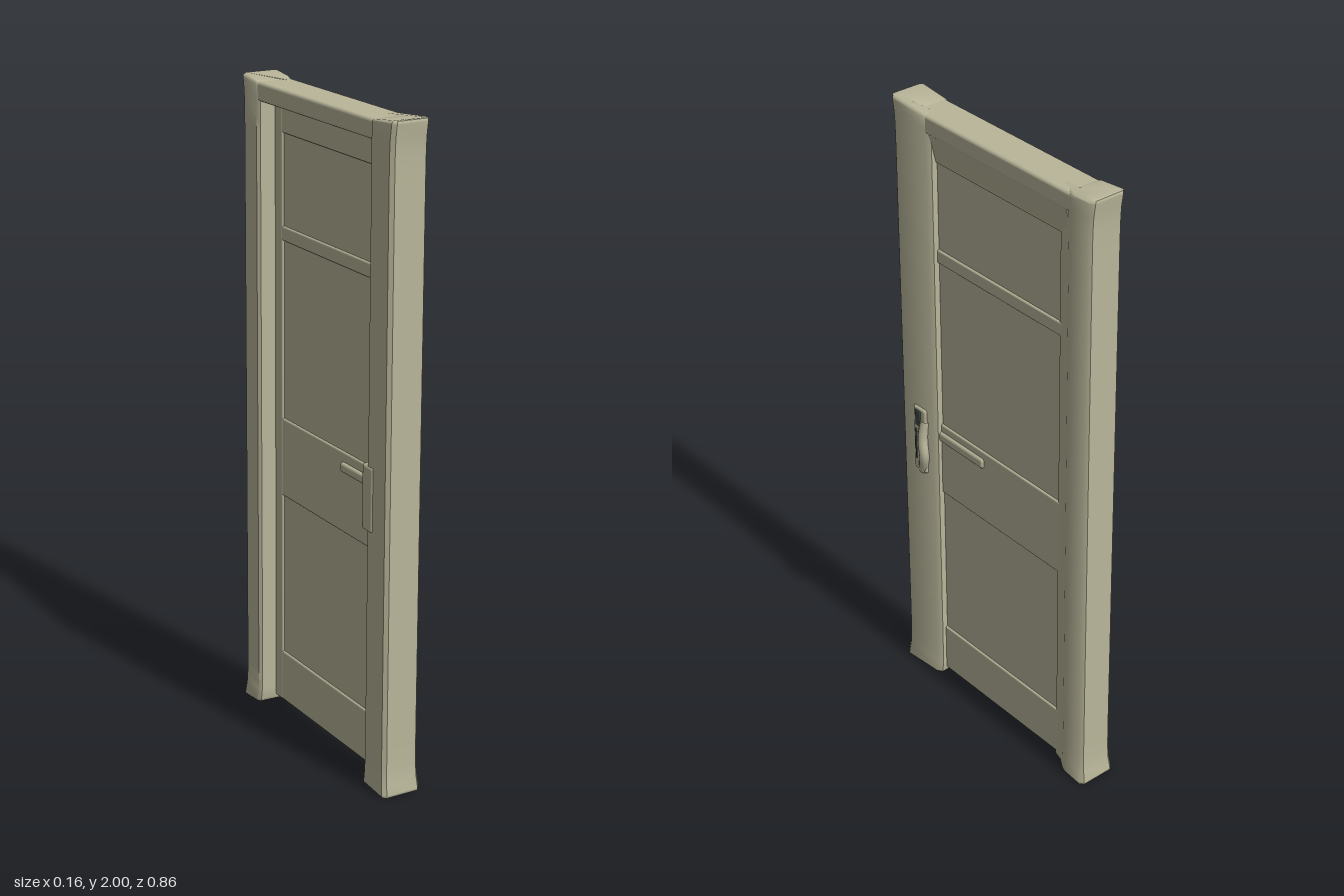
import * as THREE from 'three';
import { RoundedBoxGeometry } from 'three/addons/geometries/RoundedBoxGeometry.js';
import { toCreasedNormals } from 'three/addons/utils/BufferGeometryUtils.js';

export function createModel() {
  const door = new THREE.Group();
  door.name = 'door';
  const paint = new THREE.MeshStandardMaterial({ color: 0xb9b69a });
  paint.name = 'olive paint';
  const dark = new THREE.MeshStandardMaterial({ color: 0x3c4a42 });
  dark.name = 'dark keyhole';

  // The whole door is slightly warped: x drifts with height and depth.
  function add(name, geo, mat = paint) {
    const p = geo.attributes.position;
    for (let i = 0; i < p.count; i++) {
      const y = p.getY(i), z = p.getZ(i);
      p.setX(i, p.getX(i) + 0.006 * (y - 1) - 0.016 * z);
    }
    const mesh = new THREE.Mesh(geo, mat);
    mesh.name = name;
    door.add(mesh);
  }

  // Rounded block given by its limits on each axis.
  function block(name, [x0, x1], [y0, y1], [z0, z1], r = 0.006, mat = paint) {
    const geo = new RoundedBoxGeometry(x1 - x0, y1 - y0, z1 - z0, 3, r);
    geo.translate((x0 + x1) / 2, (y0 + y1) / 2, (z0 + z1) / 2);
    add(name, geo, mat);
  }

  // Plate whose outline (a, y) is extruded along x or z.
  // Upright with an L-shaped section, its outer corners flared at both ends.
  function jamb(name, side, points) {
    const shape = new THREE.Shape(points.map(([x, z]) => new THREE.Vector2(x, -z * side)));
    const b = 0.008, low = 0.01, high = 1.988;
    let geo = new THREE.ExtrudeGeometry(shape, {
      depth: high - low - 2 * b, steps: 60,
      bevelSize: b, bevelThickness: b, bevelOffset: -b, bevelSegments: 3,
    });
    geo.rotateX(-Math.PI / 2).translate(0, low + b, 0);
    const p = geo.attributes.position;
    for (let i = 0; i < p.count; i++) {
      const y = p.getY(i), z = p.getZ(i);
      const bottom = Math.exp(-Math.max(0, y - low) / 0.03);
      const top = Math.exp(-Math.max(0, high - y) / 0.03);
      const outer = THREE.MathUtils.smoothstep(Math.abs(z), 0.31, 0.41);
      p.setZ(i, z + side * outer * 0.012 * (bottom + top));
      p.setY(i, y + outer * (0.012 * top - 0.01 * bottom));
      p.setX(i, p.getX(i) * (1 + 0.1 * bottom));
    }
    geo = toCreasedNormals(geo, 0.7);
    add(name, geo);
  }
  jamb('frontJamb', 1, [[-0.05, 0.423], [-0.061, 0.412], [-0.063, 0.322], [-0.055, 0.312],
    [0.01, 0.31], [0.01, 0.262], [0.045, 0.262], [0.056, 0.278], [0.06, 0.408], [0.049, 0.423]]);
  jamb('backJamb', -1, [[-0.05, 0.423], [-0.061, 0.412], [-0.063, 0.335], [-0.055, 0.325],
    [0.006, 0.322], [0.006, 0.27], [0.03, 0.275], [0.037, 0.305], [0.055, 0.335],
    [0.06, 0.35], [0.06, 0.408], [0.049, 0.423]]);

  // Header, with a soft slope down to the leaf on the +x face
  block('header', [-0.06, 0.055], [1.93, 1.988], [-0.41, 0.41], 0.01);
  const slope = new THREE.ExtrudeGeometry(new THREE.Shape([
    new THREE.Vector2(0.01, 1.84), new THREE.Vector2(0.03, 1.84), new THREE.Vector2(0.04, 1.88),
    new THREE.Vector2(0.053, 1.94), new THREE.Vector2(0.01, 1.94),
  ]), { depth: 0.6, bevelEnabled: false });
  add('headerSlope', slope.translate(0, 0, -0.32));

  // Leaf with its rails and stiles
  block('leaf', [0, 0.026], [0.022, 1.95], [-0.34, 0.33], 0.004);
  for (const [y0, y1] of [[0.024, 0.19], [0.71, 0.96], [1.515, 1.56], [1.84, 1.94]]) {
    block('rail', [-0.006, 0.032], [y0, y1], [-0.33, 0.325], 0.006);
  }
  for (const z of [[0.235, 0.33], [-0.34, -0.28]]) {
    block('stile', [-0.007, 0.02], [0.023, 1.94], z, 0.006);
  }

  // Handle plate, grip, lever and keyhole on the +x face
  block('handlePlate', [0.045, 0.065], [0.77, 1.0], [0.3, 0.36], 0.009);
  const grip = new THREE.TubeGeometry(new THREE.CatmullRomCurve3([
    new THREE.Vector3(0.056, 0.96, 0.31), new THREE.Vector3(0.066, 0.9, 0.313),
    new THREE.Vector3(0.068, 0.84, 0.305), new THREE.Vector3(0.055, 0.775, 0.325),
  ]), 16, 0.016, 10);
  add('handleGrip', grip);
  block('lever', [0.018, 0.04], [0.9, 0.935], [0.06, 0.3], 0.01);
  block('keyhole', [0.061, 0.0685], [0.935, 0.99], [0.322, 0.346], 0.003, dark);
  block('keySlot', [0.061, 0.0675], [0.81, 0.92], [0.343, 0.349], 0.002, dark);

  // Handle wrapped round the inner edge of the upright on the -x face
  block('handlePlate', [-0.066, 0.005], [0.8, 1.0], [0.29, 0.35], 0.01);
  block('keyhole', [-0.05, -0.02], [0.93, 0.98], [0.286, 0.294], 0.003, dark);
  block('lever', [-0.016, 0.005], [0.9, 0.93], [0.08, 0.3], 0.009);

  return door;
}
